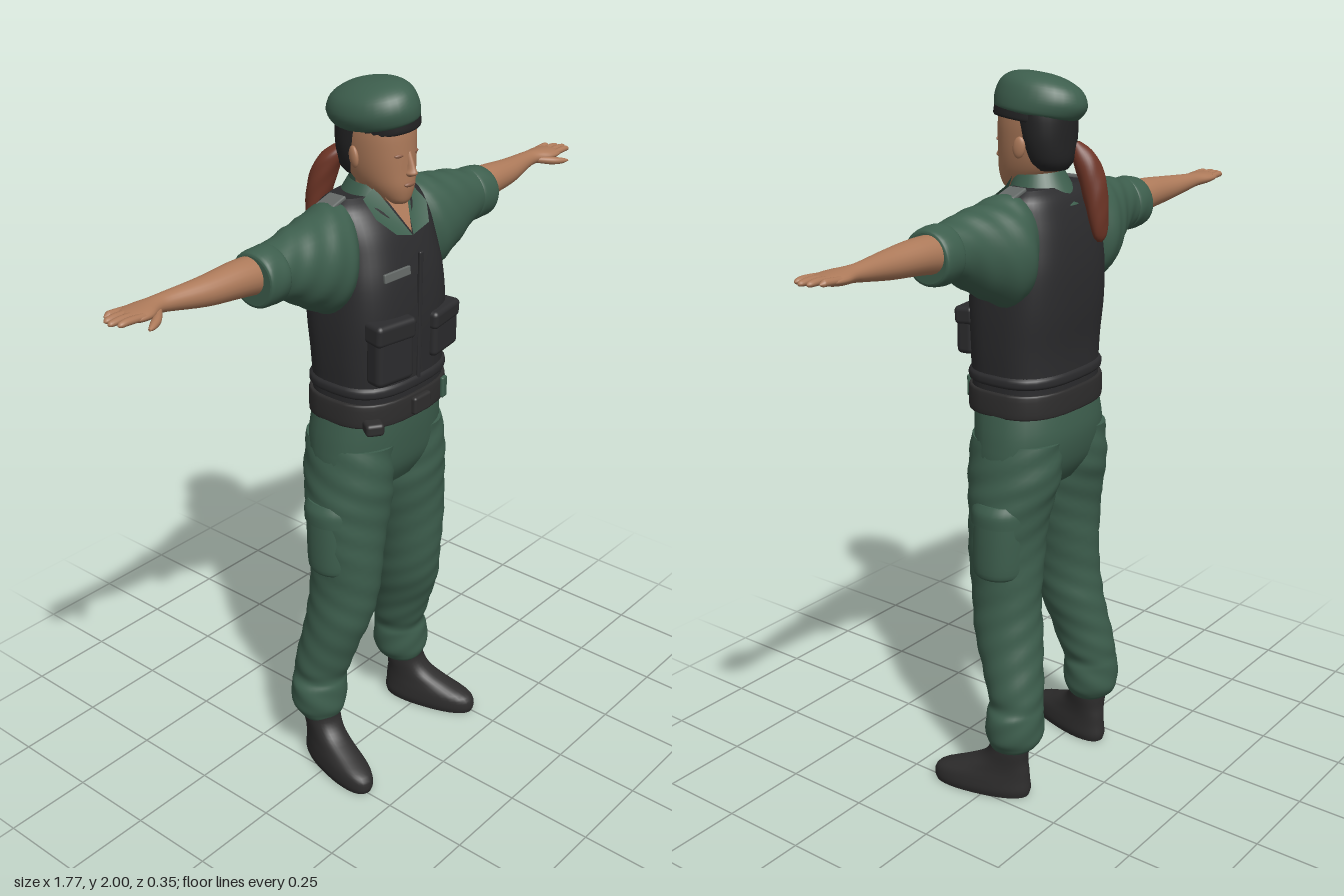
import * as THREE from 'three';
import { RoundedBoxGeometry } from 'three/addons/geometries/RoundedBoxGeometry.js';

const mat = (name, color, side = THREE.FrontSide) => {
  const m = new THREE.MeshStandardMaterial({ color, side });
  m.name = name;
  return m;
};

// Smooth solid through elliptical rings [station, centreA, centreB, radiusA, radiusB].
// Axis y: A = x, B = z. Axis x: A = y, B = z.
function loft(rings, { axis = 'y', n = 2, wrinkle = 0, sides = 32, steps = 4 } = {}) {
  const rows = [];
  const cr = (a, b, c, d, t) => 0.5 * (2 * b + (c - a) * t + (2 * a - 5 * b + 4 * c - d) * t * t + (3 * b - a - 3 * c + d) * t ** 3);
  const last = rings.length - 1;
  for (let i = 0; i < last; i++) {
    const q = [Math.max(i - 1, 0), i, i + 1, Math.min(i + 2, last)].map(k => rings[k]);
    for (let s = 0; s < steps; s++) rows.push(q[1].map((_, k) => cr(q[0][k], q[1][k], q[2][k], q[3][k], s / steps)));
  }
  rows.push(rings[last]);
  const pos = [], idx = [];
  const put = (s, a, b) => axis === 'y' ? pos.push(a, s, b) : pos.push(s, a, b);
  const se = v => Math.sign(v) * Math.abs(v) ** (2 / n);
  const addRow = ([s, ca, cb, ra, rb]) => {
    for (let j = 0; j < sides; j++) {
      const t = (j / sides) * Math.PI * 2;
      const w = 1 + wrinkle * Math.sin(3 * t + 55 * s) * Math.sin(31 * s + t);
      const c = se(Math.cos(t)) * w, d = se(Math.sin(t)) * w;
      axis === 'y' ? put(s, ca + ra * c, cb + rb * d) : put(s, ca + ra * d, cb + rb * c);
    }
  };
  rows.forEach(addRow);
  for (let i = 0; i < rows.length - 1; i++) {
    for (let j = 0; j < sides; j++) {
      const a = i * sides + j, b = i * sides + (j + 1) % sides;
      idx.push(a, a + sides, b, b, a + sides, b + sides);
    }
  }
  // Flat caps with their own vertices
  for (const [row, top] of [[rows[0], false], [rows[rows.length - 1], true]]) {
    const base = pos.length / 3;
    addRow(row);
    put(row[0], row[1], row[2]);
    for (let j = 0; j < sides; j++) {
      const a = base + j, b = base + (j + 1) % sides;
      top ? idx.push(a, base + sides, b) : idx.push(a, b, base + sides);
    }
  }
  const g = new THREE.BufferGeometry();
  g.setAttribute('position', new THREE.Float32BufferAttribute(pos, 3));
  g.setIndex(idx);
  g.computeVertexNormals();
  return g;
}

// Thin flat piece from a fan of corner points
function plate(points) {
  const g = new THREE.BufferGeometry();
  g.setAttribute('position', new THREE.Float32BufferAttribute(points.flat(), 3));
  const idx = [];
  for (let i = 1; i < points.length - 1; i++) idx.push(0, i, i + 1);
  g.setIndex(idx);
  g.computeVertexNormals();
  return g;
}

export function createModel() {
  const root = new THREE.Group();
  root.name = 'uniformedFigure';
  const green = mat('greenCloth', 0x3d5e4d);
  const greenThin = mat('greenCollarCloth', 0x3d5e4d, THREE.DoubleSide);
  const black = mat('blackVest', 0x2b2b2d);
  const boot = mat('bootLeather', 0x2e2d2d);
  const skin = mat('skin', 0xad7a5a, THREE.DoubleSide);
  const lip = mat('faceDetail', 0x8f614a);
  const dark = mat('darkHair', 0x232324);
  const red = mat('auburnHair', 0x6e3526);
  const grey = mat('greyPatch', 0x646967);

  const add = (name, geo, m, p = [0, 0, 0], r = [0, 0, 0]) => {
    const mesh = new THREE.Mesh(geo, m);
    mesh.name = name;
    mesh.position.set(...p);
    mesh.rotation.set(...r);
    root.add(mesh);
    return mesh;
  };
  // Adds a part on the left and its mirror image on the right
  const pair = (name, geo, m, p, r) => {
    const left = add(name + 'Left', geo, m, p, r);
    left.updateMatrix();
    const g = geo.clone();
    if (!g.index) g.setIndex([...Array(g.attributes.position.count).keys()]);
    g.applyMatrix4(left.matrix).scale(-1, 1, 1);
    const ix = g.index.array;
    for (let i = 0; i < ix.length; i += 3) [ix[i], ix[i + 1]] = [ix[i + 1], ix[i]];
    add(name + 'Right', g, m);
  };
  const box = (w, h, d, r = 0.01) => new RoundedBoxGeometry(w, h, d, 3, r);
  const ball = (x, y, z) => new THREE.SphereGeometry(1, 20, 14).scale(x, y, z);

  // Boots, toes turned out
  pair('boot', loft([[0, 0, 0.085, 0.05, 0.143], [0.02, 0, 0.085, 0.055, 0.148], [0.05, 0, 0.08, 0.053, 0.14],
    [0.08, 0, 0.045, 0.048, 0.103], [0.11, 0, 0.016, 0.047, 0.07], [0.15, 0, 0, 0.05, 0.056], [0.2, 0, 0, 0.05, 0.055]],
    { n: 2.3 }), boot, [0.195, 0, -0.055], [0, 0.25, 0]);

  // Trousers
  pair('trouserLeg', loft([[0.155, 0.192, -0.065, 0.06, 0.058], [0.17, 0.19, -0.068, 0.07, 0.07], [0.2, 0.189, -0.07, 0.083, 0.08],
    [0.26, 0.187, -0.07, 0.083, 0.08], [0.29, 0.181, -0.07, 0.074, 0.077], [0.33, 0.175, -0.062, 0.082, 0.082], [0.4, 0.166, -0.045, 0.085, 0.087],
    [0.5, 0.15, -0.02, 0.09, 0.1], [0.6, 0.14, -0.007, 0.092, 0.102], [0.75, 0.13, -0.003, 0.105, 0.108],
    [0.87, 0.119, -0.008, 0.117, 0.12], [0.95, 0.112, -0.015, 0.112, 0.132], [1.05, 0.1, -0.015, 0.103, 0.135]],
    { wrinkle: 0.03, steps: 6 }), green);
  add('hips', loft([[0.91, 0, -0.01, 0.15, 0.09], [0.97, 0, -0.013, 0.208, 0.125], [1.05, 0, -0.015, 0.208, 0.14],
    [1.12, 0, -0.01, 0.197, 0.14], [1.17, 0, -0.005, 0.185, 0.135]], { n: 2.3 }), green);
  pair('cargoPocket', loft([[0.67, 0.152, -0.012, 0.088, 0.07], [0.69, 0.152, -0.012, 0.096, 0.08], [0.78, 0.15, -0.014, 0.097, 0.083],
    [0.86, 0.148, -0.016, 0.094, 0.083]], { n: 2.2 }), green);
  pair('pocketFlap', loft([[0.825, 0.15, -0.015, 0.1, 0.088], [0.86, 0.149, -0.016, 0.1, 0.088], [0.885, 0.14, -0.016, 0.096, 0.086]],
    { n: 2.2 }), green);

  // Vest and belt
  add('vest', loft([[1.15, 0, -0.005, 0.182, 0.137], [1.22, 0, -0.004, 0.183, 0.137], [1.3, 0, -0.004, 0.188, 0.139],
    [1.4, 0, -0.008, 0.19, 0.146], [1.5, 0, -0.014, 0.184, 0.143], [1.58, 0, -0.02, 0.172, 0.13],
    [1.64, 0, -0.025, 0.165, 0.112], [1.69, 0, -0.033, 0.155, 0.085], [1.715, 0, -0.037, 0.125, 0.055]], { n: 2.8, sides: 48 }), black);
  add('vestHem', loft([[1.205, 0, -0.004, 0.184, 0.138], [1.212, 0, -0.004, 0.191, 0.144], [1.228, 0, -0.004, 0.191, 0.144],
    [1.236, 0, -0.004, 0.184, 0.138]], { n: 2.8 }), black);
  add('belt', loft([[1.125, 0, -0.005, 0.188, 0.14], [1.13, 0, -0.005, 0.196, 0.146], [1.185, 0, -0.005, 0.194, 0.146],
    [1.19, 0, -0.005, 0.186, 0.14]], { n: 2.7 }), boot);
  add('beltBuckle', box(0.07, 0.05, 0.02, 0.008), boot, [0, 1.158, 0.145]);
  add('beltTab', box(0.025, 0.06, 0.012, 0.005), green, [0.105, 1.165, 0.139], [0, 0.2, 0]);
  add('beltHolder', box(0.05, 0.035, 0.05, 0.01), boot, [-0.16, 1.135, 0.115], [0, -0.6, 0]);
  add('largePouch', box(0.125, 0.15, 0.06, 0.018), black, [-0.102, 1.325, 0.122], [0, -0.16, 0]);
  add('largePouchFlap', box(0.132, 0.06, 0.068, 0.014), black, [-0.102, 1.395, 0.122], [0.06, -0.16, 0]);
  add('smallPouch', box(0.125, 0.11, 0.05, 0.015), black, [0.108, 1.325, 0.118], [0, 0.16, 0]);
  add('smallPouchFlap', box(0.132, 0.05, 0.058, 0.013), black, [0.108, 1.375, 0.118], [0.06, 0.16, 0]);
  add('frontZip', box(0.014, 0.36, 0.01, 0.004), black, [0, 1.4, 0.136], [0.01, 0, 0]);
  add('chestPatch', box(0.095, 0.024, 0.009, 0.003), grey, [-0.075, 1.535, 0.122], [-0.12, -0.06, 0]);
  pair('epaulette', box(0.06, 0.012, 0.055, 0.005), grey, [0.145, 1.71, -0.035], [0, 0, -0.3]);

  // Shirt sleeves with rolled cuffs
  pair('sleeve', loft([[0.08, 1.59, -0.03, 0.1, 0.06], [0.13, 1.575, -0.03, 0.132, 0.085], [0.175, 1.568, -0.03, 0.142, 0.108],
    [0.22, 1.57, -0.026, 0.13, 0.106], [0.3, 1.588, -0.016, 0.103, 0.082], [0.36, 1.599, -0.014, 0.077, 0.07],
    [0.41, 1.6, -0.014, 0.07, 0.066]], { axis: 'x', wrinkle: 0.03, steps: 6 }), green);
  pair('sleeveCuff', loft([[0.385, 1.599, -0.014, 0.066, 0.062], [0.39, 1.599, -0.014, 0.073, 0.071], [0.42, 1.599, -0.014, 0.074, 0.072],
    [0.448, 1.598, -0.014, 0.07, 0.07], [0.454, 1.598, -0.014, 0.062, 0.062]], { axis: 'x', wrinkle: 0.02 }), green);

  // Bare forearms and open hands
  pair('forearm', loft([[0.42, 1.606, -0.022, 0.05, 0.05], [0.5, 1.612, -0.022, 0.045, 0.046], [0.6, 1.613, -0.025, 0.036, 0.037],
    [0.7, 1.618, -0.037, 0.024, 0.026], [0.74, 1.62, -0.038, 0.02, 0.027], [0.78, 1.62, -0.034, 0.018, 0.041],
    [0.815, 1.621, -0.033, 0.014, 0.042], [0.832, 1.622, -0.033, 0.007, 0.034]], { axis: 'x', sides: 24 }), skin);
  [0.862, 0.88, 0.886, 0.876].forEach((tip, i) => {
    const z = -0.064 + i * 0.0205;
    pair('finger' + (i + 1), loft([[0.8, 1.622, z, 0.009, 0.01], [0.845, 1.625, z, 0.009, 0.0095], [tip - 0.008, 1.624, z, 0.007, 0.008],
      [tip, 1.623, z, 0.002, 0.002]], { axis: 'x', sides: 12 }), skin);
  });
  pair('thumb', loft([[0.735, 1.615, -0.026, 0.008, 0.01], [0.77, 1.61, 0.006, 0.011, 0.014], [0.8, 1.607, 0.024, 0.009, 0.011],
    [0.82, 1.606, 0.034, 0.003, 0.004]], { axis: 'x', sides: 12 }), skin);

  // Neck, open shirt front and collar
  add('neck', loft([[1.6, 0, -0.015, 0.06, 0.06], [1.67, 0, -0.012, 0.055, 0.058], [1.76, 0, -0.005, 0.05, 0.056]]), skin);
  add('openNeckline', plate([[0, 1.625, 0.108], [0.05, 1.73, 0.045], [-0.05, 1.73, 0.045]]), skin);
  pair('collarFlap', plate([[0.002, 1.618, 0.112], [0.065, 1.635, 0.112], [0.1, 1.675, 0.075], [0.092, 1.715, 0.025], [0.055, 1.738, 0.03]]), greenThin);
  const band = new THREE.CylinderGeometry(0.065, 0.105, 0.085, 32, 2, true, 0.7, Math.PI * 2 - 1.4);
  add('collarBand', band, greenThin, [0, 1.702, -0.02], [0.1, 0, 0]);

  // Head and face
  add('head', loft([[1.695, 0, 0.058, 0.022, 0.028], [1.708, 0, 0.049, 0.038, 0.046], [1.74, 0, 0.022, 0.06, 0.08], [1.78, 0, 0.006, 0.073, 0.095],
    [1.83, 0, 0, 0.08, 0.1], [1.88, 0, -0.004, 0.082, 0.102], [1.93, 0, -0.006, 0.075, 0.094], [1.965, 0, -0.008, 0.045, 0.06]], { n: 2.15 }), skin);
  add('nose', loft([[1.768, 0, 0.095, 0.008, 0.012], [1.776, 0, 0.1, 0.015, 0.022], [1.79, 0, 0.099, 0.01, 0.018], [1.825, 0, 0.093, 0.007, 0.01],
    [1.84, 0, 0.09, 0.004, 0.006]], { sides: 16 }), skin);
  add('lips', ball(0.021, 0.007, 0.008), lip, [0, 1.748, 0.1]);
  pair('eye', ball(0.014, 0.005, 0.005), lip, [0.032, 1.824, 0.091], [0, 0.25, 0]);
  pair('ear', ball(0.009, 0.028, 0.017), skin, [0.083, 1.815, -0.012], [-0.15, 0.25, 0]);

  // Hair and ponytail
  add('backHair', loft([[1.755, 0, -0.055, 0.045, 0.04], [1.78, 0, -0.05, 0.068, 0.06], [1.83, 0, -0.046, 0.083, 0.068],
    [1.88, 0, -0.04, 0.087, 0.076], [1.91, 0, -0.035, 0.086, 0.08]]), dark);
  add('ponytail', loft([[1.565, -0.075, -0.156, 0.008, 0.006], [1.585, -0.075, -0.155, 0.024, 0.017], [1.64, -0.072, -0.15, 0.034, 0.026],
    [1.71, -0.068, -0.139, 0.038, 0.033], [1.765, -0.062, -0.123, 0.036, 0.034], [1.8, -0.055, -0.106, 0.028, 0.03],
    [1.822, -0.045, -0.092, 0.014, 0.018]], { wrinkle: 0.04 }), red);

  // Beret, tilted down to the right side
  add('beretBand', loft([[-0.062, 0, -0.004, 0.085, 0.106], [-0.055, 0, -0.004, 0.088, 0.109], [-0.03, 0, -0.004, 0.088, 0.109]]),
    dark, [0, 1.935, 0], [-0.1, 0, 0.13]);
  add('beret', loft([[-0.045, 0, -0.008, 0.086, 0.106], [-0.035, -0.004, -0.012, 0.096, 0.12], [-0.005, -0.008, -0.016, 0.1, 0.129],
    [0.028, -0.006, -0.014, 0.089, 0.116], [0.049, -0.002, -0.01, 0.064, 0.084], [0.059, 0, -0.008, 0.033, 0.044],
    [0.061, 0, -0.008, 0.004, 0.005]]), green, [0, 1.935, 0], [-0.1, 0, 0.15]);
  return root;
}
